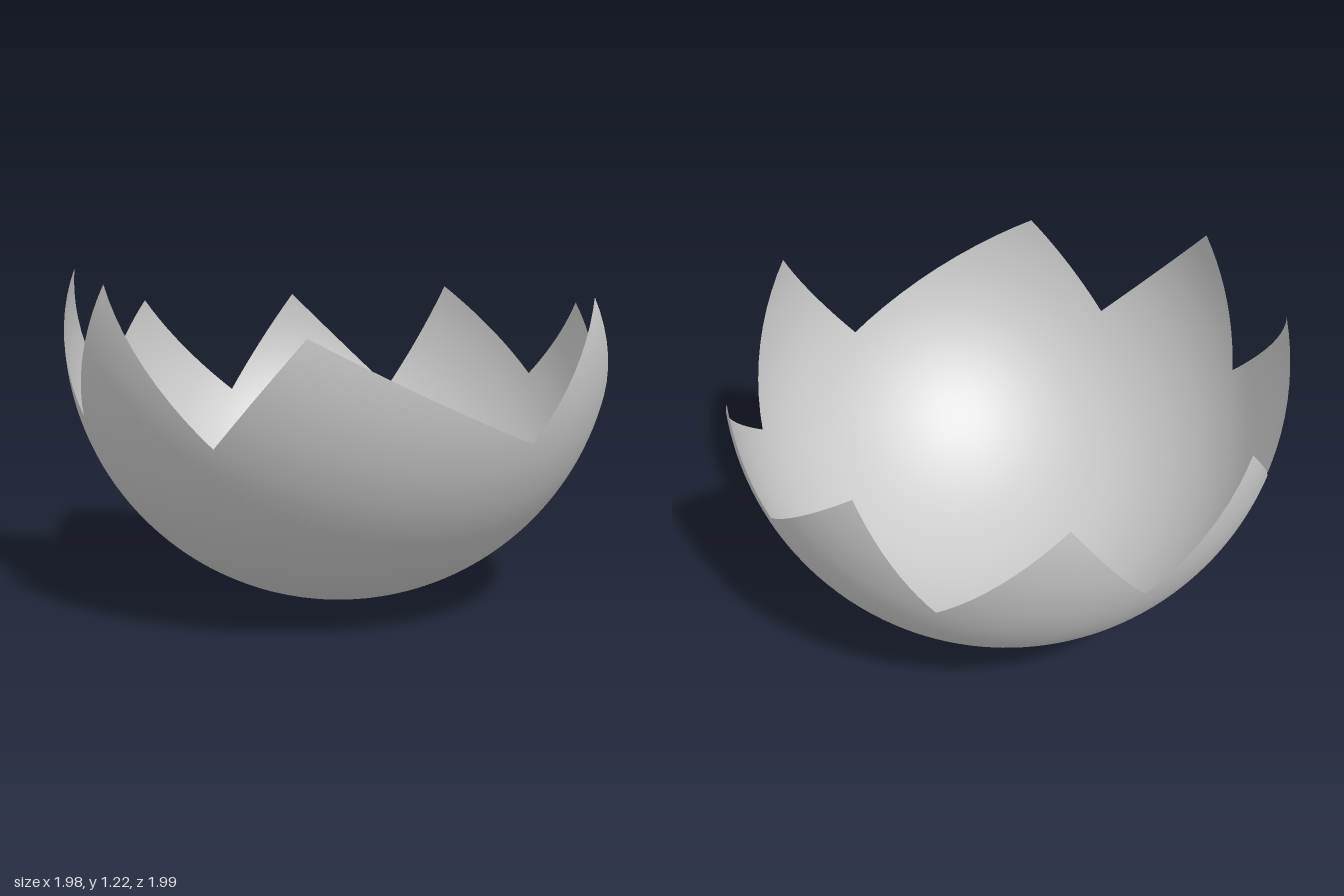
import * as THREE from 'three';

// Rim corners of the broken shell, alternating tip and notch, counterclockwise from the front
const RIM = [
  [-0.05, 1.2, 0.98], [0.39, 0.7, 0.87], [0.68, 1.06, 0.73], [0.95, 0.69, 0],
  [0.94, 1.15, -0.31], [0.69, 0.64, -0.63], [0.365, 1.07, -0.93], [0.1, 0.76, -0.97],
  [-0.355, 1.1, -0.93], [-0.54, 0.66, -0.77], [-0.87, 1.06, -0.5], [-0.92, 0.66, -0.2],
  [-0.98, 1.06, 0.2], [-0.835, 0.73, 0.48], [-0.66, 1.22, 0.72], [-0.3, 0.73, 0.915],
];
const EDGE_STEPS = 10; // columns along each rim edge
const ROWS = 32;       // rows from the base to the rim

// Direction from the sphere centre (0, 1, 0) to a rim corner
const direction = ([x, y, z]) => new THREE.Vector3(x, y - 1, z).normalize();

function shellGeometry() {
  const positions = [], normals = [], index = [];
  const columns = RIM.length * EDGE_STEPS;

  for (let i = 0; i < columns; i++) {
    // Each rim edge is an arc across the sphere
    const k = Math.floor(i / EDGE_STEPS);
    const from = direction(RIM[k]);
    const to = direction(RIM[(k + 1) % RIM.length]);
    const rim = from.lerp(to, (i % EDGE_STEPS) / EDGE_STEPS).normalize();
    const azimuth = Math.atan2(rim.x, rim.z);
    const reach = Math.acos(-rim.y);

    // Meridian from the base up to the rim
    for (let j = 0; j <= ROWS; j++) {
      const angle = reach * j / ROWS;
      const r = Math.sin(angle);
      const n = [r * Math.sin(azimuth), -Math.cos(angle), r * Math.cos(azimuth)];
      normals.push(...n);
      positions.push(n[0], n[1] + 1, n[2]);
    }

    const a = i * (ROWS + 1);
    const b = ((i + 1) % columns) * (ROWS + 1);
    for (let j = 0; j < ROWS; j++) {
      if (j > 0) index.push(a + j, b + j, b + j + 1);
      index.push(a + j, b + j + 1, a + j + 1);
    }
  }

  const geometry = new THREE.BufferGeometry();
  geometry.setAttribute('position', new THREE.Float32BufferAttribute(positions, 3));
  geometry.setAttribute('normal', new THREE.Float32BufferAttribute(normals, 3));
  geometry.setIndex(index);
  return geometry;
}

export function createModel() {
  const group = new THREE.Group();
  group.name = 'brokenShell';

  const shellGrey = new THREE.MeshStandardMaterial({ color: 0xcccccc, side: THREE.DoubleSide });
  shellGrey.name = 'shellGrey';

  // Thin spherical bowl with a jagged rim
  const shell = new THREE.Mesh(shellGeometry(), shellGrey);
  shell.name = 'shell';
  group.add(shell);
  return group;
}
